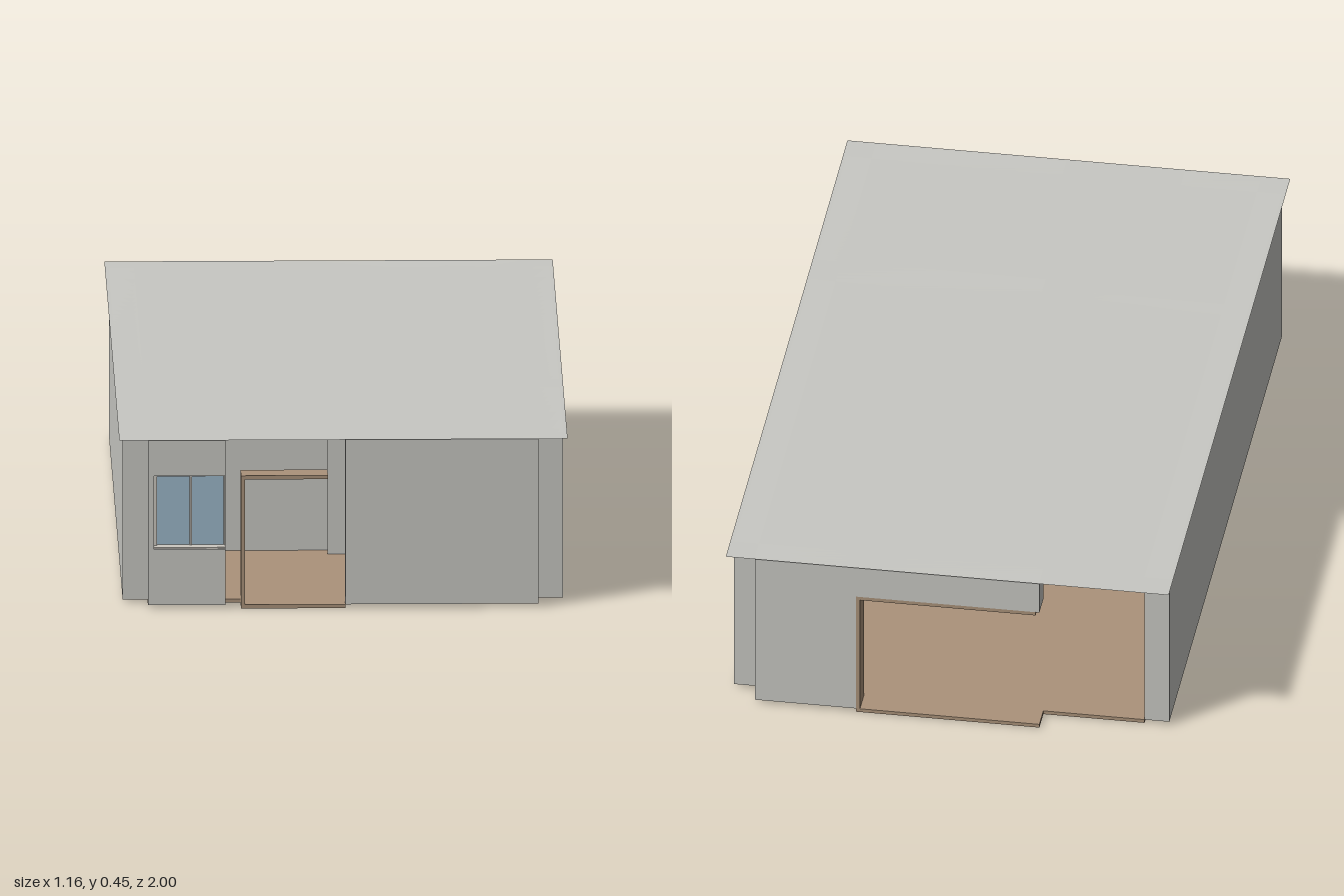
import * as THREE from 'three';

const material = (name, color, side = THREE.FrontSide) => {
  const m = new THREE.MeshStandardMaterial({ color, side });
  m.name = name;
  return m;
};

export function createModel() {
  const wall = material('wall grey', 0xc9c9c4);
  const roofGrey = material('roof grey', 0xc8c8c3, THREE.DoubleSide);
  const wood = material('wood tan', 0xab937b);
  const glass = material('glass blue', 0x9db9cb);
  const trim = material('window trim', 0xcdc9c1);

  const model = new THREE.Group();
  model.name = 'house';

  // box given by its minimum and maximum on each axis
  const box = (name, mat, [x0, x1], [y0, y1], [z0, z1], parent = model) => {
    const mesh = new THREE.Mesh(new THREE.BoxGeometry(x1 - x0, y1 - y0, z1 - z0), mat);
    mesh.position.set((x0 + x1) / 2, (y0 + y1) / 2, (z0 + z1) / 2);
    mesh.name = name;
    parent.add(mesh);
  };

  const full = [0.01, 0.45];
  const front = [0.925, 0.99];
  const back = [-0.99, -0.925];

  // flat roof sheet
  const roof = new THREE.Mesh(new THREE.PlaneGeometry(1.16, 2), roofGrey);
  roof.rotation.x = -Math.PI / 2;
  roof.position.y = 0.45;
  roof.name = 'roof';
  model.add(roof);

  // floor slab with door thresholds and a slot under the partition (shape y = -z)
  const outline = [
    [-0.505, -0.925], [-0.265, -0.925], [-0.265, -0.99], [0.005, -0.99], [0.005, -0.925],
    [0.505, -0.925], [0.505, -0.43], [0.005, -0.43], [0.005, -0.335], [0.505, -0.335],
    [0.505, 0.925], [0.24, 0.925], [0.24, 0.99], [-0.24, 0.99], [-0.24, 0.925], [-0.505, 0.925],
  ];
  const floorShape = new THREE.Shape(outline.map(([x, y]) => new THREE.Vector2(x, y)));
  const floor = new THREE.Mesh(
    new THREE.ExtrudeGeometry(floorShape, { depth: 0.01, bevelEnabled: false }), wood);
  floor.rotation.x = -Math.PI / 2;
  floor.name = 'floor';
  model.add(floor);

  // side walls; the left one is interrupted at the partition
  box('rightWall', wall, [-0.57, -0.505], full, [-0.925, 0.925]);
  box('leftWallFront', wall, [0.505, 0.57], full, [0.43, 0.925]);
  box('leftWallRear', wall, [0.505, 0.57], full, [-0.925, 0.335]);

  // partition between the rooms
  box('partitionLeft', wall, [-0.03, 0.505], full, [0.335, 0.43]);
  box('partitionRight', wall, [-0.505, -0.03], full, [0.335, 0.385]);

  // front wall
  box('frontWall', wall, [0.005, 0.505], full, front);
  box('wallBelowWindow', wall, [-0.505, -0.305], [0.01, 0.158], front);
  box('wallAboveWindow', wall, [-0.505, -0.305], [0.353, 0.45], front);
  box('wallBesideWindow', wall, [-0.505, -0.49], [0.158, 0.353], front);

  // back wall with the lintel over the doorway
  box('backWall', wall, [0.24, 0.505], full, back);
  box('backLintel', wall, [-0.24, 0.24], [0.355, 0.45], back);

  // door frames: one post and a head each
  box('frontDoorPost', wood, [-0.265, -0.255], [0.01, 0.353], front);
  box('frontDoorHead', wood, [-0.255, -0.04], [0.343, 0.353], front);
  box('backDoorPost', wood, [0.23, 0.24], [0.01, 0.355], back);
  box('backDoorHead', wood, [-0.23, 0.23], [0.345, 0.355], back);

  // window
  const windowGroup = new THREE.Group();
  windowGroup.name = 'window';
  model.add(windowGroup);
  const frameZ = [0.94, 0.96];
  for (const [x0, x1] of [[-0.49, -0.482], [-0.397, -0.391], [-0.309, -0.305]]) {
    box('windowPost', trim, [x0, x1], [0.158, 0.353], frameZ, windowGroup);
  }
  box('windowSill', trim, [-0.49, -0.305], [0.158, 0.162], [0.94, 0.985], windowGroup);
  box('windowHead', trim, [-0.49, -0.305], [0.345, 0.353], frameZ, windowGroup);
  for (const [x0, x1] of [[-0.482, -0.397], [-0.391, -0.309]]) {
    box('windowPane', glass, [x0, x1], [0.162, 0.345], [0.946, 0.952], windowGroup);
  }

  return model;
}
